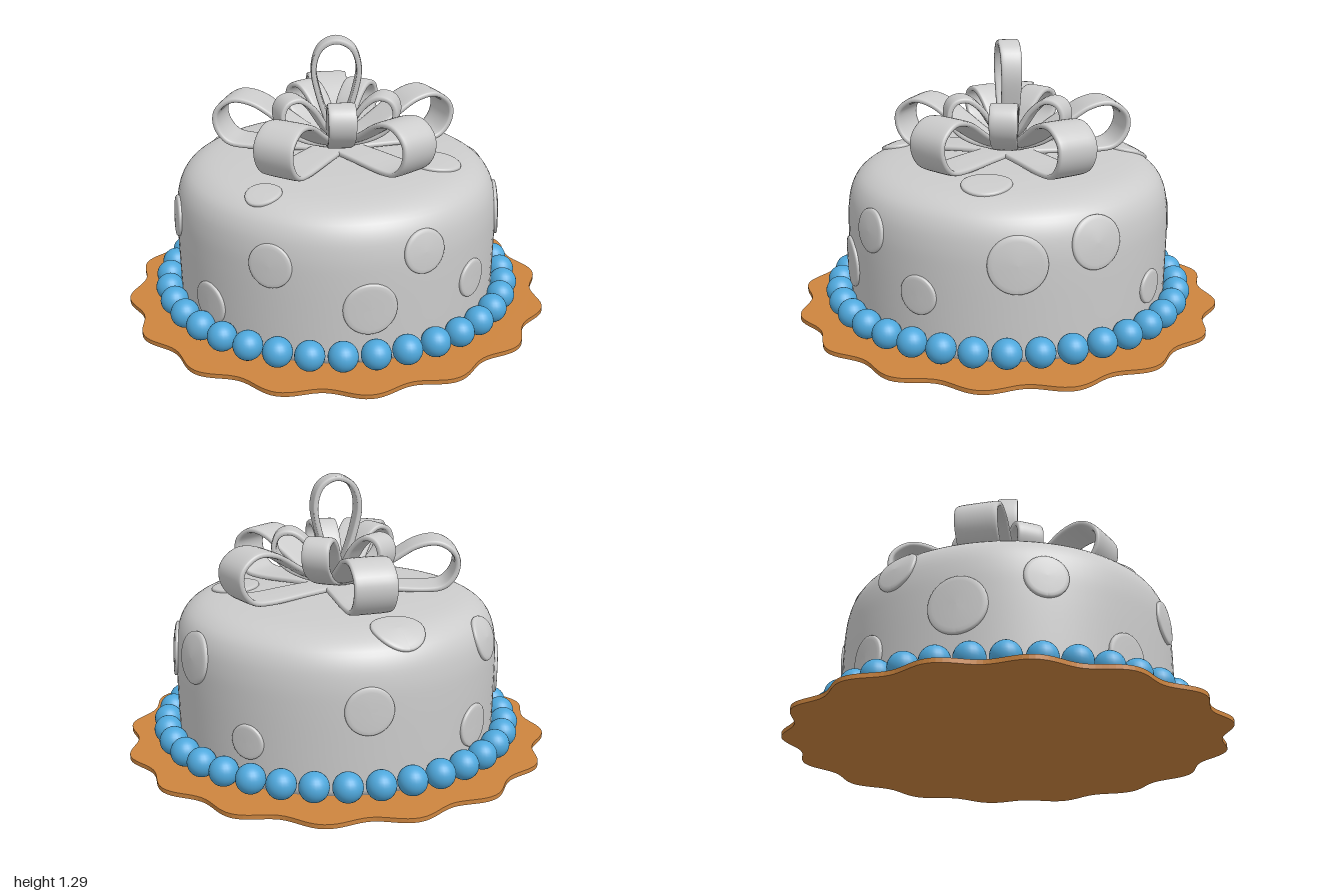
import * as THREE from 'three';

const grey = new THREE.MeshStandardMaterial({ color: 0xcccccc });
const ribbonGrey = new THREE.MeshStandardMaterial({ color: 0xcccccc, side: THREE.DoubleSide });
const board = new THREE.MeshStandardMaterial({ color: 0xcd853f });
const blue = new THREE.MeshStandardMaterial({ color: 0x4fa8dc });

const curve2 = (pts) => new THREE.SplineCurve(pts.map(([x, y]) => new THREE.Vector2(x, y)));

// Cake outline from the foot of the wall to the middle of the top
const cakeProfile = curve2([[0.762, 0.02], [0.766, 0.2], [0.768, 0.4], [0.763, 0.52], [0.742, 0.61],
  [0.695, 0.673], [0.6, 0.713], [0.4, 0.733], [0.2, 0.738], [0, 0.74]]);

function add(parent, name, geometry, material) {
  const mesh = new THREE.Mesh(geometry, material);
  mesh.name = name;
  parent.add(mesh);
  return mesh;
}

// Wavy-edged board
function boardGeometry() {
  const pts = [];
  for (let i = 0; i < 256; i++) {
    const a = (i / 256) * Math.PI * 2;
    const r = 0.991 - 0.027 * Math.cos(16 * a);
    pts.push(new THREE.Vector2(r * Math.cos(a), r * Math.sin(a)));
  }
  const geo = new THREE.ExtrudeGeometry(new THREE.Shape(pts), { depth: 0.02, bevelEnabled: false });
  return geo.rotateX(-Math.PI / 2);
}

// Raised disc that hugs the cake surface around the point nearest to (x, y, z)
function dotGeometry(x, y, z, radius) {
  const target = new THREE.Vector2(Math.hypot(x, z), y);
  const length = cakeProfile.getLength();
  let t0 = 0, best = Infinity;
  for (let i = 0; i <= 300; i++) {
    const d = cakeProfile.getPointAt(i / 300).distanceTo(target);
    if (d < best) { best = d; t0 = i / 300; }
  }
  const outline = [[1, -0.008], [1, 0.005], [0.98, 0.01], [0.93, 0.013], [0.8, 0.014], [0.4, 0.014], [0, 0.014]];
  const geo = new THREE.LatheGeometry(outline.map(([r, h]) => new THREE.Vector2(r * radius, h)), 40);
  const pos = geo.attributes.position;
  const phi0 = Math.atan2(x, z);
  for (let i = 0; i < pos.count; i++) {
    const t = THREE.MathUtils.clamp(t0 - pos.getZ(i) / length, 0, 1);
    const p = cakeProfile.getPointAt(t), tan = cakeProfile.getTangentAt(t), h = pos.getY(i);
    const phi = phi0 + pos.getX(i) / p.x;
    const r = p.x + tan.y * h;
    pos.setXYZ(i, r * Math.sin(phi), p.y - tan.x * h, r * Math.cos(phi));
  }
  geo.computeVertexNormals();
  return geo;
}

// Ribbon loop: a rounded flat section swept along a path in the x-y plane
function ribbonGeometry(path, width, thickness = 0.028, steps = 72) {
  const curve = curve2(path);
  const sides = 20, pos = [], index = [];
  const round = (v, e) => Math.sign(v) * Math.abs(v) ** e;
  for (let i = 0; i <= steps; i++) {
    const u = i / steps;
    const p = curve.getPointAt(u), t = curve.getTangentAt(u);
    const w = width * (0.74 + 0.26 * Math.sin(Math.PI * u)) / 2;
    for (let j = 0; j < sides; j++) {
      const a = (j / sides) * Math.PI * 2;
      const n = round(Math.cos(a), 0.35) * thickness / 2;
      pos.push(p.x - t.y * n, p.y + t.x * n, round(Math.sin(a), 0.5) * w);
      if (i < steps) {
        const k = i * sides + j, m = i * sides + (j + 1) % sides;
        index.push(k, m, k + sides, m, m + sides, k + sides);
      }
    }
  }
  const geo = new THREE.BufferGeometry();
  geo.setAttribute('position', new THREE.Float32BufferAttribute(pos, 3));
  geo.setIndex(index);
  geo.computeVertexNormals();
  return geo;
}

function createBow() {
  const bow = new THREE.Group();
  bow.name = 'bow';
  const rad = Math.PI / 180;

  // Five wide loops lying outward
  const wide = ribbonGeometry([[0.0, 0.775], [0.12, 0.81], [0.25, 0.89], [0.36, 0.96], [0.46, 0.975], [0.535, 0.92],
    [0.54, 0.84], [0.49, 0.77], [0.4, 0.752], [0.2, 0.757], [0.0, 0.76]], 0.2);
  // Five short loops standing between them
  const short = ribbonGeometry([[0.0, 0.78], [0.07, 0.87], [0.13, 0.96], [0.2, 1.015], [0.265, 1.005], [0.29, 0.945],
    [0.26, 0.875], [0.17, 0.815], [0.0, 0.765]], 0.13);
  for (let i = 0; i < 5; i++) {
    const outer = add(bow, 'outerLoop', wide, ribbonGrey);
    outer.rotation.y = -72 * i * rad;
    // the two loops on the right side are slightly longer
    const s = i === 2 || i === 3 || i === 4 ? 1.05 : 1;
    outer.scale.x = s;
    const inner = add(bow, 'innerLoop', short, ribbonGrey);
    inner.rotation.y = -(36 + 72 * i) * rad;
  }

  // Upright loop in the middle
  const upright = ribbonGeometry([[0, 0.77], [-0.04, 0.88], [-0.085, 1.02], [-0.105, 1.14], [-0.075, 1.235], [0, 1.272],
    [0.075, 1.235], [0.105, 1.14], [0.085, 1.02], [0.04, 0.88], [0, 0.77]], 0.1);
  add(bow, 'uprightLoop', upright, ribbonGrey).rotation.y = 50 * rad;
  return bow;
}

export function createModel() {
  const model = new THREE.Group();
  model.name = 'cake';

  add(model, 'board', boardGeometry(), board);

  // Cake body, closed underneath
  const outline = [new THREE.Vector2(0, 0.02), ...cakeProfile.getSpacedPoints(60)];
  add(model, 'cakeBody', new THREE.LatheGeometry(outline, 96), grey);

  // Bead border
  const beads = new THREE.Group();
  beads.name = 'beadBorder';
  const bead = new THREE.SphereGeometry(0.067, 24, 16);
  for (let i = 0; i < 36; i++) {
    const a = (i / 36) * Math.PI * 2;
    add(beads, 'bead', bead, blue).position.set(0.822 * Math.sin(a), 0.09, 0.822 * Math.cos(a));
  }
  model.add(beads);

  // Dots: x, y, z, radius
  const dots = new THREE.Group();
  dots.name = 'dots';
  [
    [-0.355, 0.475, 0.68, 0.097], [0.34, 0.465, 0.685, 0.1], [-0.63, 0.35, 0.44, 0.13],
    [0.655, 0.28, 0.395, 0.12], [0.005, 0.19, 0.765, 0.1], [0.17, 0.72, 0.58, 0.082],
    [-0.735, 0.59, 0.14, 0.105], [0.75, 0.51, 0.165, 0.1], [0.755, 0.29, -0.135, 0.09],
    [0.555, 0.465, -0.525, 0.13], [0.26, 0.53, -0.715, 0.12], [-0.555, 0.71, -0.3, 0.12],
    [0.43, 0.73, -0.24, 0.115], [-0.56, 0.405, -0.52, 0.108], [-0.09, 0.23, -0.76, 0.08],
    [-0.765, 0.22, 0, 0.1],
  ].forEach((d) => add(dots, 'dot', dotGeometry(...d), grey));
  model.add(dots);

  model.add(createBow());
  return model;
}
